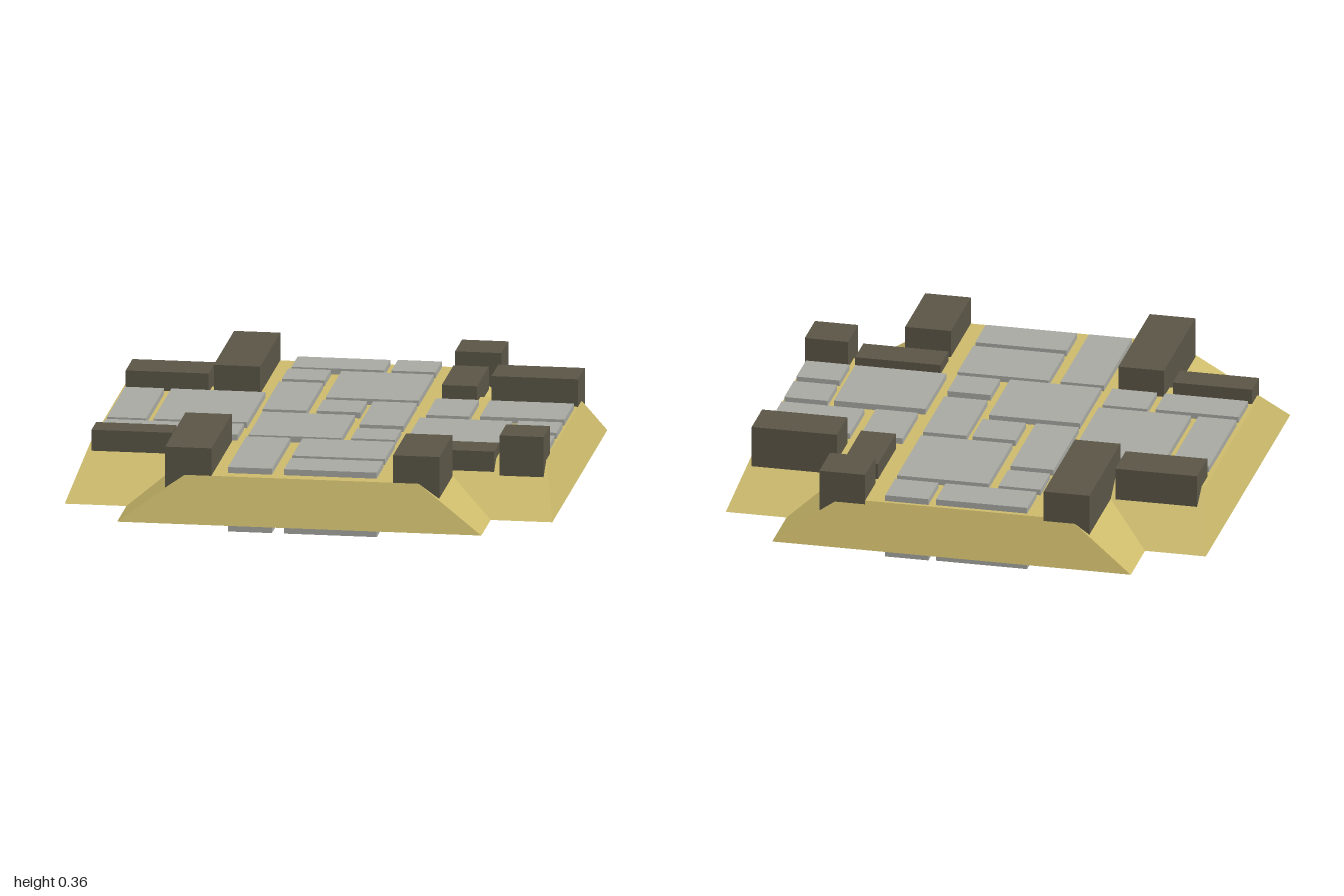
import * as THREE from 'three';

const sand = new THREE.MeshStandardMaterial({ color: 0xcbb96a, side: THREE.DoubleSide });
sand.name = 'sand';
const stone = new THREE.MeshStandardMaterial({ color: 0xa7a8a1, side: THREE.DoubleSide });
stone.name = 'paving stone';
const dark = new THREE.MeshStandardMaterial({ color: 0x5a5546, side: THREE.DoubleSide });
dark.name = 'dark wall stone';

// Box without its underside, given by its extents
function openBox(name, material, [x0, x1, z0, z1], y0, y1) {
  const geo = new THREE.BoxGeometry(x1 - x0, y1 - y0, z1 - z0);
  const index = Array.from(geo.index.array);
  index.splice(18, 6); // the bottom face
  geo.clearGroups();
  geo.setIndex(index);
  const mesh = new THREE.Mesh(geo, material);
  mesh.name = name;
  mesh.position.set((x0 + x1) / 2, (y0 + y1) / 2, (z0 + z1) / 2);
  return mesh;
}

// Cross-shaped mound with sloping sides, open below
function createMound() {
  const pos = [];
  const quad = (a, b, c, d) => pos.push(...a, ...b, ...c, ...a, ...c, ...d);
  const armRing = (w, e, y, turns) =>
    [[-w, w], [-w, e], [w, e], [w, w]].map(([x, z]) => {
      for (let i = 0; i < turns; i++) [x, z] = [z, -x];
      return [x, y, z];
    });
  for (let t = 0; t < 4; t++) {
    const low = armRing(0.747, 1, 0.055, t);
    const top = armRing(0.48, 0.935, 0.245, t);
    for (let i = 0; i < 3; i++) quad(low[i], low[i + 1], top[i + 1], top[i]);
    quad(...top);
  }
  const s = 0.48, y = 0.245;
  quad([-s, y, -s], [-s, y, s], [s, y, s], [s, y, -s]);
  const geo = new THREE.BufferGeometry();
  geo.setAttribute('position', new THREE.Float32BufferAttribute(pos, 3));
  geo.computeVertexNormals();
  const mesh = new THREE.Mesh(geo, sand);
  mesh.name = 'sandMound';
  return mesh;
}

// Paving slabs: x0, x1, z0, z1
const slabs = [
  [-0.295, 0.085, -0.915, -0.745],
  [0.115, 0.295, -0.92, -0.745],
  [-0.305, -0.13, -0.72, -0.55],
  [-0.085, 0.295, -0.71, -0.285],
  [-0.31, -0.13, -0.51, -0.06],
  [-0.09, 0.09, -0.25, -0.065],
  [0.115, 0.295, -0.25, 0.125],
  [0.36, 0.535, -0.335, -0.065],
  [0.58, 0.925, -0.335, -0.075],
  [-0.915, -0.755, -0.33, 0.16],
  [-0.725, -0.34, -0.33, 0.16],
  [-0.305, 0.075, -0.02, 0.355],
  [0.34, 0.72, -0.02, 0.355],
  [0.745, 0.925, -0.03, 0.14],
  [0.745, 0.925, 0.185, 0.355],
  [-0.915, -0.57, 0.19, 0.36],
  [-0.535, -0.35, 0.185, 0.36],
  [0.115, 0.295, 0.18, 0.35],
  [-0.31, -0.13, 0.38, 0.88],
  [-0.08, 0.3, 0.38, 0.66],
  [-0.08, 0.3, 0.695, 0.88],
];

// Wall blocks: extents, then bottom and top height
const blocks = [
  [[-0.56, -0.37, -0.94, -0.39], 0.187, 0.36],
  [[0.375, 0.565, -0.94, -0.75], 0.187, 0.36],
  [[0.375, 0.52, -0.71, -0.39], 0.21, 0.312],
  [[-0.92, -0.58, -0.565, -0.38], 0.19, 0.325],
  [[0.58, 0.935, -0.565, -0.38], 0.187, 0.36],
  [[-0.925, -0.595, 0.39, 0.515], 0.215, 0.308],
  [[-0.56, -0.37, 0.38, 0.935], 0.187, 0.36],
  [[0.375, 0.73, 0.395, 0.54], 0.195, 0.287],
  [[0.755, 0.935, 0.375, 0.555], 0.187, 0.36],
  [[0.375, 0.565, 0.58, 0.935], 0.187, 0.36],
];

export function createModel() {
  const model = new THREE.Group();
  model.name = 'pavedCrossroads';
  model.add(createMound());

  const paving = new THREE.Group();
  paving.name = 'paving';
  slabs.forEach((s) => paving.add(openBox('pavingSlab', stone, s, 0, 0.27)));

  const walls = new THREE.Group();
  walls.name = 'cornerWalls';
  blocks.forEach(([s, y0, y1]) => walls.add(openBox('wallBlock', dark, s, y0, y1)));

  model.add(paving, walls);
  return model;
}
